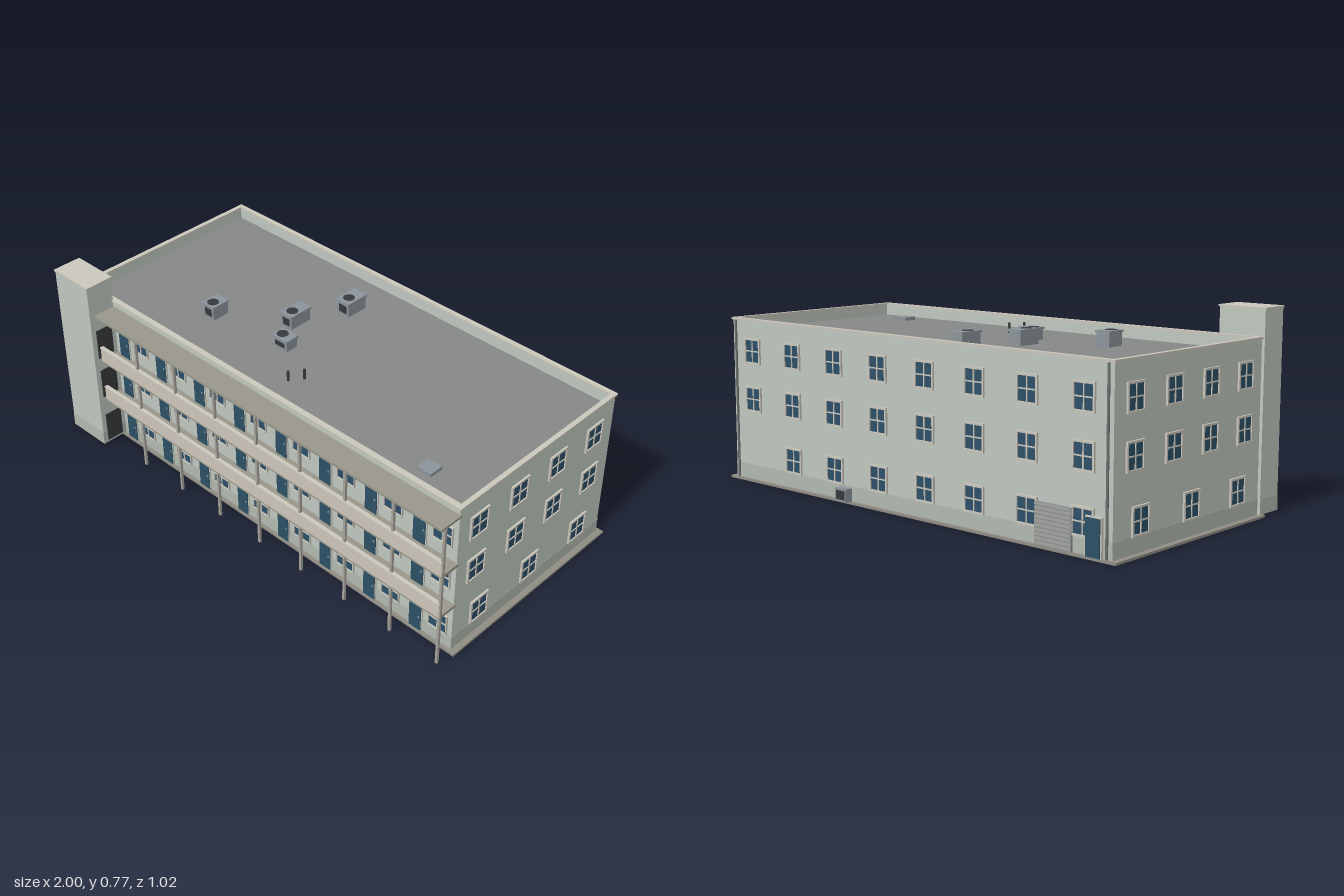
import * as THREE from 'three';

const mat = (color) => new THREE.MeshStandardMaterial({ color });
const M = {
  wall: mat(0xbfc8bf), band: mat(0xb1b9b0), trim: mat(0xcac7bc), parapet: mat(0xcdc5bb),
  slab: mat(0x99978a), roof: mat(0x868887), glass: mat(0x2d5068), door: mat(0x2b5166),
  dark: mat(0x36393b), post: mat(0xa5a39a), metal: mat(0x8b949b), plinth: mat(0x8f8d83),
  bottom: mat(0x4a4843), pipe: mat(0x6d716f),
};

// Box given by its limits on each axis
function box(parent, name, material, [x0, x1], [y0, y1], [z0, z1]) {
  const mesh = new THREE.Mesh(new THREE.BoxGeometry(x1 - x0, y1 - y0, z1 - z0), material);
  mesh.position.set((x0 + x1) / 2, (y0 + y1) / 2, (z0 + z1) / 2);
  mesh.name = name;
  parent.add(mesh);
  return mesh;
}

function cylinder(parent, name, material, r, x, z, y0, y1) {
  const mesh = new THREE.Mesh(new THREE.CylinderGeometry(r, r, y1 - y0, 16), material);
  mesh.position.set(x, (y0 + y1) / 2, z);
  mesh.name = name;
  parent.add(mesh);
}

// Rectangular ring, lying in the xy plane and extruded along +z
function ringGeometry([x0, x1, y0, y1], [a0, a1, b0, b1], depth) {
  const rect = (C, l, r, b, t) => new C([[l, b], [r, b], [r, t], [l, t]].map((p) => new THREE.Vector2(...p)));
  const shape = rect(THREE.Shape, x0, x1, y0, y1);
  shape.holes.push(rect(THREE.Path, a0, a1, b0, b1));
  return new THREE.ExtrudeGeometry(shape, { depth, bevelEnabled: false });
}

// Horizontal ring with z limits, used for the roof edge
function roofRing(parent, name, material, [x0, x1, z0, z1], [a0, a1, b0, b1], y0, y1) {
  const geometry = ringGeometry([x0, x1, -z1, -z0], [a0, a1, -b1, -b0], y1 - y0);
  const mesh = new THREE.Mesh(geometry.rotateX(-Math.PI / 2), material);
  mesh.position.y = y0;
  mesh.name = name;
  parent.add(mesh);
}

// Four-pane window facing +z, centred on its origin
function makeWindow(w, h, border) {
  const g = new THREE.Group();
  g.name = 'window';
  const iw = w / 2 - border, ih = h / 2 - border, bar = 0.0025;
  const frame = new THREE.Mesh(ringGeometry([-w / 2, w / 2, -h / 2, h / 2], [-iw, iw, -ih, ih], 0.008), M.trim);
  frame.name = 'windowFrame';
  g.add(frame);
  box(g, 'windowGlass', M.glass, [-iw, iw], [-ih, ih], [-0.002, 0.003]);
  box(g, 'windowMullion', M.trim, [-bar, bar], [-ih, ih], [0, 0.006]);
  box(g, 'windowTransom', M.trim, [-iw, iw], [-bar, bar], [0, 0.006]);
  return g;
}

function place(parent, object, x, y, z, turn = 0) {
  object.position.set(x, y, z);
  object.rotation.y = turn;
  parent.add(object);
}

export function createModel() {
  const model = new THREE.Group();
  model.name = 'apartmentBlock';
  const floors = [0.01, 0.23, 0.42];
  const X = 0.975, ZB = -0.47, ZF = 0.39;

  // Main body: base, walls, recessed roof and parapet
  box(model, 'groundSlab', M.bottom, [-0.995, 0.995], [0, 0.002], [-0.483, 0.403]);
  box(model, 'plinth', M.plinth, [-1, 1], [0.001, 0.01], [-0.485, 0.405]);
  box(model, 'walls', M.wall, [-X, X], [0.01, 0.61], [ZB, ZF]);
  box(model, 'wallBaseBand', M.band, [-X - 0.001, X + 0.001], [0.01, 0.07], [ZB - 0.001, ZF + 0.001]);
  const inner = [-0.962, 0.962, -0.456, 0.372];
  roofRing(model, 'roofParapet', M.wall, [-X, X, ZB, ZF], inner, 0.61, 0.656);
  roofRing(model, 'parapetCap', M.trim, [-0.981, 0.981, -0.476, 0.395], inner, 0.656, 0.665);
  box(model, 'roof', M.roof, [-0.965, 0.965], [0.608, 0.614], [-0.46, 0.376]);

  // Stair tower at the front corner, with an opening to each gallery
  const tower = new THREE.Group();
  tower.name = 'stairTower';
  model.add(tower);
  box(tower, 'towerWalls', M.wall, [-0.987, -0.793], [0.01, 0.763], [0.388, 0.506]);
  box(tower, 'towerBaseBand', M.band, [-0.988, -0.792], [0.01, 0.07], [0.388, 0.507]);
  box(tower, 'towerCap', M.trim, [-0.99, -0.788], [0.763, 0.77], [0.386, 0.51]);
  for (const y of floors) box(tower, 'towerOpening', M.dark, [-0.8, -0.79], [y + 0.01, y + 0.14], [0.41, 0.485]);

  // Access galleries: slabs, balustrades, roof and posts
  const gallery = new THREE.Group();
  gallery.name = 'galleries';
  model.add(gallery);
  const bays = 8, gx0 = -0.79, pitch = 0.2213;
  for (const y of floors.slice(1)) {
    box(gallery, 'gallerySlab', M.slab, [gx0, 0.98], [y - 0.012, y], [0.385, 0.473]);
    box(gallery, 'galleryBalustrade', M.parapet, [gx0, 0.978], [y - 0.004, y + 0.055], [0.464, 0.474]);
    box(gallery, 'balustradeRail', M.trim, [gx0, 0.98], [y + 0.055, y + 0.061], [0.461, 0.477]);
  }
  box(gallery, 'galleryRoof', M.slab, [gx0, 0.98], [0.625, 0.635], [0.385, 0.487]);
  for (let i = 1; i <= bays; i++) {
    const x = gx0 + i * pitch - 0.003;
    box(gallery, 'galleryPost', M.post, [x - 0.005, x + 0.005], [0.005, 0.626], [0.462, 0.472]);
  }

  // A door and a window in every bay of each floor
  for (const y of floors) {
    for (let i = 0; i < bays; i++) {
      const x = gx0 + i * pitch;
      box(model, 'apartmentDoorFrame', M.trim, [x + 0.022, x + 0.084], [y, y + 0.137], [0.385, 0.395]);
      box(model, 'apartmentDoor', M.door, [x + 0.026, x + 0.08], [y, y + 0.133], [0.385, 0.398]);
      box(model, 'doorHandle', M.metal, [x + 0.071, x + 0.075], [y + 0.06, y + 0.068], [0.397, 0.402]);
      place(model, makeWindow(0.086, 0.088, 0.004), x + 0.153, y + 0.103, ZF);
    }
  }

  // End walls
  const addWindow = (x, y, z, turn) => place(model, makeWindow(0.096, 0.104, 0.008), x, y, z, turn);
  const upper = [0.535, 0.34], ground = 0.12;
  for (const s of [-1, 1]) {
    const turn = s * Math.PI / 2;
    for (const y of upper) for (const z of [0.285, 0.07, -0.145, -0.36]) addWindow(s * X, y, z, turn);
    for (const z of [0.25, -0.035, -0.325]) addWindow(s * X, ground, z, turn);
  }

  // Back wall
  for (let i = 0; i < 8; i++) {
    const x = X - (i + 0.5) * X / 4;
    for (const y of upper) addWindow(x, y, ZB, Math.PI);
    if (i > 0) addWindow(x, ground, ZB, Math.PI);
  }
  box(model, 'backDoorFrame', M.trim, [-0.937, -0.868], [0.01, 0.147], [-0.48, -0.465]);
  box(model, 'backDoor', M.door, [-0.932, -0.873], [0.01, 0.142], [-0.485, -0.465]);
  box(model, 'shutter', M.metal, [-0.81, -0.65], [0.01, 0.16], [-0.48, -0.465]);
  for (let i = 0; i < 10; i++) {
    const y = 0.015 + i * 0.015;
    box(model, 'shutterSlat', M.post, [-0.808, -0.652], [y, y + 0.008], [-0.483, -0.478]);
  }
  for (const x of [-0.955, 0.955]) cylinder(model, 'downpipe', M.pipe, 0.005, x, -0.475, 0.01, 0.655);
  box(model, 'outdoorUnit', M.metal, [0.265, 0.325], [0.012, 0.063], [-0.51, -0.478]);
  box(model, 'outdoorUnitGrille', M.dark, [0.272, 0.318], [0.02, 0.055], [-0.511, -0.508]);

  // Roof plant: [x limits, z limits, top, fan x, fan z]
  const units = [
    [[-0.16, -0.092], [-0.315, -0.21], 0.677, -0.127, -0.25],
    [[-0.255, -0.19], [-0.105, 0.005], 0.675, -0.222, -0.033],
    [[-0.177, -0.097], [0.06, 0.122], 0.664, -0.15, 0.09],
    [[-0.52, -0.453], [0.085, 0.168], 0.675, -0.487, 0.138],
  ];
  for (const [xs, zs, top, fx, fz] of units) {
    const unit = new THREE.Group();
    unit.name = 'roofUnit';
    model.add(unit);
    const inset = ([a, b]) => [a + 0.004, b - 0.004];
    box(unit, 'unitCase', M.metal, inset(xs), [0.612, top - 0.008], inset(zs));
    box(unit, 'unitLid', M.metal, xs, [top - 0.01, top - 0.001], zs);
    box(unit, 'unitGrille', M.dark, [xs[0] + 0.015, xs[1] - 0.015], [0.625, top - 0.018], [zs[1] - 0.006, zs[1] - 0.003]);
    cylinder(unit, 'unitFan', M.dark, 0.023, fx, fz, top - 0.004, top);
  }
  box(model, 'roofHatch', M.metal, [0.705, 0.767], [0.612, 0.628], [0.235, 0.295]);
  for (const [x, z] of [[0.065, 0.19], [0.03, 0.24]]) cylinder(model, 'ventPipe', M.dark, 0.005, x, z, 0.612, 0.656);

  return model;
}
